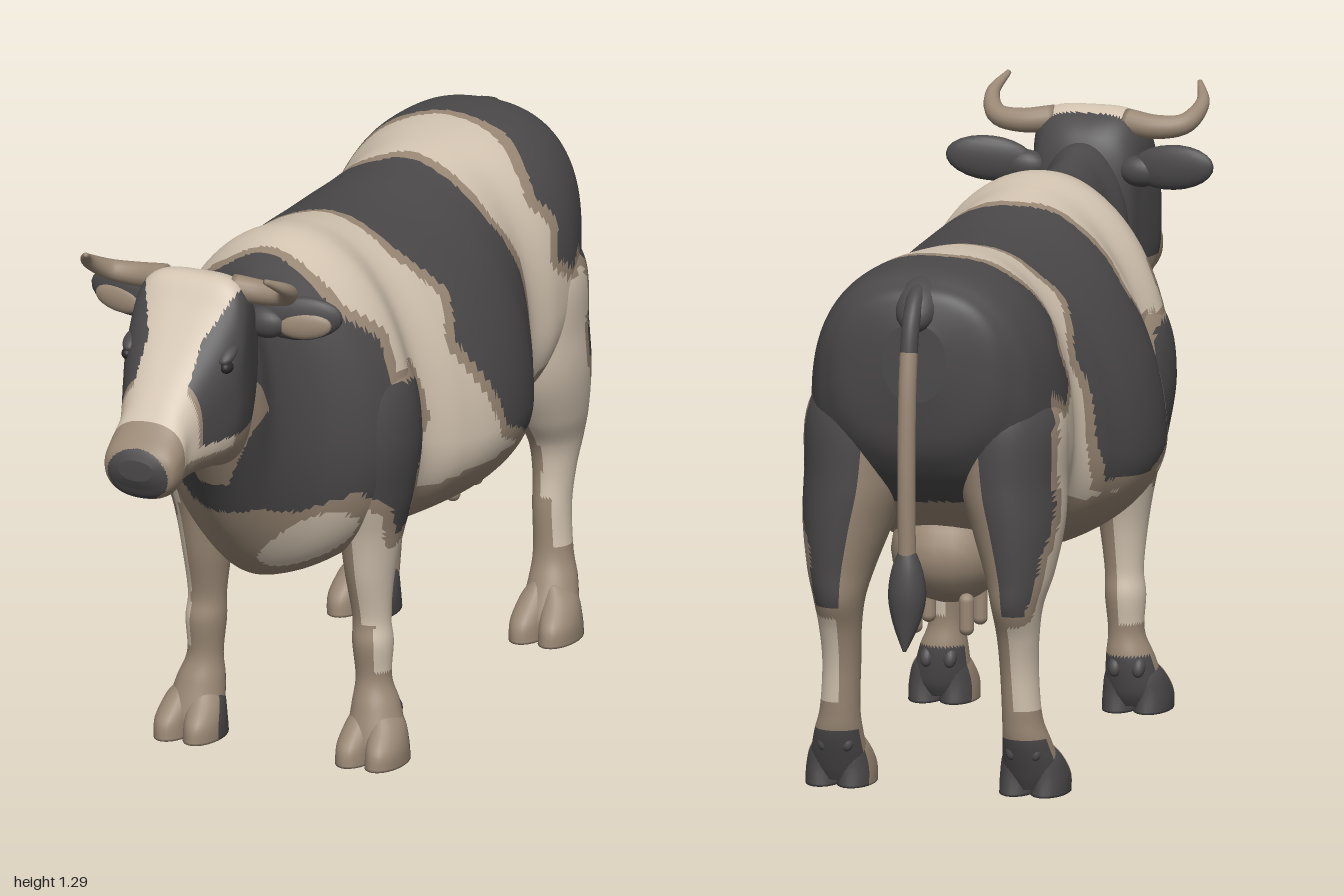
import * as THREE from 'three';

const mat = (name, color) => Object.assign(new THREE.MeshStandardMaterial({ color }), { name });
const DARK = 0, CREAM = 1, TAN = 2;
const mats = [mat('charcoal', 0x4b4949), mat('cream', 0xd3c4b1), mat('tan', 0x9a8875)];
const black = mat('eyeBlack', 0x2c2a2b);

// Smooth interpolation through rows of numbers
function sample(rows, t) {
  const f = t * (rows.length - 1), i = Math.min(Math.floor(f), rows.length - 2), u = f - i;
  const at = k => rows[Math.max(0, Math.min(rows.length - 1, k))];
  const [a, b, c, d] = [at(i - 1), at(i), at(i + 1), at(i + 2)];
  return b.map((_, k) => b[k] + 0.5 * u * (c[k] - a[k] + u * (2 * a[k] - 5 * b[k] + 4 * c[k] - d[k]
    + u * (3 * (b[k] - c[k]) + d[k] - a[k]))));
}

// Closed, capped skin over rings; ring(row, cos, sin) gives a point
function loft(rows, ring, segs = 24, steps = 40) {
  const pos = [], idx = [];
  for (let j = 0; j <= steps; j++) {
    const r = sample(rows, j / steps);
    for (let i = 0; i < segs; i++) {
      const a = (i / segs) * Math.PI * 2;
      pos.push(...ring(r, Math.cos(a), Math.sin(a)));
    }
  }
  for (let j = 0; j < steps; j++) for (let i = 0; i < segs; i++) {
    const a = j * segs + i, b = j * segs + (i + 1) % segs;
    idx.push(a, b, a + segs, b, b + segs, a + segs);
  }
  for (const j of [0, steps]) {
    const c = pos.length / 3, m = [0, 0, 0];
    for (let i = 0; i < segs; i++) for (let k = 0; k < 3; k++) m[k] += pos[(j * segs + i) * 3 + k] / segs;
    pos.push(...m);
    for (let i = 0; i < segs; i++) {
      const a = j * segs + i, b = j * segs + (i + 1) % segs;
      idx.push(...(j ? [a, b, c] : [b, a, c]));
    }
  }
  // Turn the skin outward if its volume is negative
  const P = i => new THREE.Vector3().fromArray(pos, i * 3), o = P(0);
  let vol = 0;
  for (let i = 0; i < idx.length; i += 3)
    vol += P(idx[i]).sub(o).dot(P(idx[i + 1]).sub(o).cross(P(idx[i + 2]).sub(o)));
  if (vol < 0) idx.reverse();
  const g = new THREE.BufferGeometry();
  g.setAttribute('position', new THREE.Float32BufferAttribute(pos, 3));
  g.setIndex(idx);
  g.computeVertexNormals();
  return g;
}

// Sort faces into colour groups by position and facing
function paint(g, rule) {
  const p = g.attributes.position, src = g.index.array, bins = [[], [], []];
  const tri = new THREE.Triangle(), c = new THREE.Vector3(), n = new THREE.Vector3();
  for (let i = 0; i < src.length; i += 3) {
    tri.setFromAttributeAndIndices(p, src[i], src[i + 1], src[i + 2]);
    tri.getMidpoint(c); tri.getNormal(n);
    bins[rule(c, n)].push(src[i], src[i + 1], src[i + 2]);
  }
  g.setIndex(bins.flat());
  let start = 0;
  bins.forEach((b, k) => { if (b.length) g.addGroup(start, b.length, k); start += b.length; });
  return g;
}

// Coat patches as outlines in (z, y)
const patches = [
  [[.34, 1.3], [.31, 1.05], [.24, .98], [.25, .88], [.13, .87], [.11, .75], [.16, .68], [.17, .54], [.22, .52], [.25, .6], [.33, .65], [.42, .62], [.5, .645], [.57, .64], [.63, .74], [.75, .84], [.75, 1.3]],
  [[-.03, 1.3], [-.01, 1.1], [-.07, 1], [-.03, .9], [-.1, .78], [-.13, .68], [-.25, .63], [-.41, .64], [-.44, .8], [-.46, .92], [-.4, 1.05], [-.43, 1.3]],
  [[-.69, 1.3], [-.67, 1.16], [-.62, 1.1], [-.6, 1.04], [-.65, .98], [-.62, .9], [-.68, .86], [-.74, .9], [-.77, .82], [-.76, .66], [-.82, .55], [-.83, .42], [-1, .42], [-1, 1.3]],
];
// Distance outside a patch; negative when inside
function patchDistance(poly, x, y) {
  let inside = false, d = Infinity;
  poly.forEach(([ax, ay], i) => {
    const [bx, by] = poly[(i + 1) % poly.length], ex = bx - ax, ey = by - ay;
    if ((ay > y) !== (by > y) && x < ax + ex * (y - ay) / ey) inside = !inside;
    const t = Math.max(0, Math.min(1, ((x - ax) * ex + (y - ay) * ey) / (ex * ex + ey * ey)));
    d = Math.min(d, Math.hypot(x - ax - t * ex, y - ay - t * ey));
  });
  return inside ? -d : d;
}
const coat = (c, base) => {
  const wob = 0.008 * Math.sin(c.x * 31 + c.y * 23);
  const d = Math.min(...patches.map(p => patchDistance(p, c.z + wob, c.y)));
  return d < 0 ? DARK : d < 0.028 ? TAN : base;
};
const bodyRule = (c, n) => {
  const throat = c.z > .5 && c.y > .72 && n.y < 0 && Math.abs(c.x) < .035 + (c.y - .72) * .45;
  if (throat) return TAN;
  const blotch = Math.hypot((c.z - .37) / .08, (c.y - .54) / .065) < 1 && c.x > .03;
  const under = n.y < -.42 || (c.z > .28 && c.y < .72);
  return coat(c, blotch ? CREAM : under ? TAN : CREAM);
};
const legRule = side => (c, n) => {
  if (c.y < .13 && n.z < -.3) return DARK;
  const spot = side > 0 && c.z > 0 && c.z < .165 && Math.abs(c.y - .4) < .03 && n.x > 0;
  if (spot) return DARK;
  const outer = n.x * side > -.1 && c.y > .2 && (n.z < .85 || (side > 0 && c.y > .31));
  return n.x * side < -.35 ? TAN : coat(c, outer ? CREAM : TAN);
};
const hoofRule = side => (c, n) => (n.y < -.8 || n.z < (side < 0 ? .1 : -.3) ? DARK : TAN);
const headRule = (c, n) => {
  const x = Math.abs(c.x);
  if (c.z > .95 && Math.hypot(x / .072, (c.y - .865) / .06) < 1) return DARK;
  if (c.y < .835 && c.z > .9 && n.y > -.5) return DARK;
  if (c.y < .878 || c.z > .935) return TAN;
  if (x < .064 + Math.max(0, c.y - 1.12) * .5 && c.z > .64 && n.y > 0) return CREAM;
  if (c.z > .87 || c.y < .905) return c.z > .76 ? CREAM : TAN;
  return c.z > .858 ? TAN : DARK;
};

// Ring shapes
const pw = (v, e) => Math.sign(v) * Math.abs(v) ** e;
const alongZ = ([z, top, bot, w, mid, e], c, s) =>
  [w * pw(c, e), mid + (s > 0 ? top - mid : mid - bot) * pw(s, e), z];
const alongY = side => ([y, x, z, rx, rz], c, s) => [side * (x + rx * c), y, z + rz * s];

// Rows: z, top, bottom, half width, height of widest point, squareness
const torso = [
  [-.9, 1.07, .9, .07, .99, .9], [-.88, 1.13, .8, .165, .97, .85], [-.85, 1.155, .74, .21, .94, .85],
  [-.8, 1.175, .68, .248, .9, .85], [-.7, 1.18, .59, .28, .84, .85], [-.6, 1.178, .53, .282, .78, .87],
  [-.5, 1.168, .49, .265, .75, .92], [-.4, 1.152, .46, .315, .7, .98], [-.3, 1.147, .44, .36, .68, 1.03],
  [-.2, 1.145, .43, .378, .68, 1.05], [-.1, 1.15, .435, .368, .68, 1.03], [0, 1.162, .44, .33, .68, 1],
  [.1, 1.178, .44, .278, .7, 1], [.2, 1.19, .43, .298, .74, 1], [.3, 1.17, .425, .265, .76, 1.05],
  [.4, 1.15, .46, .17, .77, 1.05], [.5, 1.16, .57, .115, .84, 1], [.58, 1.175, .7, .108, .96, 1],
  [.65, 1.15, .81, .09, 1, 1],
];
const skull = [
  [.56, 1.12, .9, .05, 1.03, .9], [.59, 1.19, .84, .105, 1.06, .8], [.64, 1.23, .805, .122, 1.07, .55],
  [.7, 1.237, .805, .135, 1.06, .5], [.75, 1.178, .815, .138, 1, .63], [.8, 1.118, .82, .122, .96, .68],
  [.85, 1.064, .822, .102, .935, .73], [.9, 1.01, .812, .086, .91, .78], [.94, .965, .8, .089, .89, .82],
  [.975, .935, .81, .085, .88, .85], [.99, .92, .835, .07, .88, .9], [1, .9, .855, .04, .88, .95],
];
// Rows: y, x, z, half width, half depth
const foreLeg = [
  [1, .15, .2, .04, .06], [.88, .19, .2, .095, .115], [.75, .2, .2, .108, .128], [.62, .2, .19, .092, .115],
  [.52, .197, .19, .07, .085], [.42, .195, .195, .054, .06], [.32, .197, .19, .043, .042], [.26, .2, .19, .045, .048],
  [.18, .202, .19, .04, .04], [.12, .21, .195, .054, .054], [.05, .217, .21, .064, .06], [.015, .217, .215, .05, .05],
];
const hindLeg = [
  [.98, .15, -.69, .05, .1], [.85, .165, -.7, .118, .15], [.7, .175, -.705, .115, .155], [.6, .19, -.72, .1, .14],
  [.5, .2, -.748, .075, .107], [.43, .2, -.77, .056, .08], [.36, .2, -.762, .046, .058], [.28, .2, -.75, .042, .05],
  [.18, .205, -.745, .044, .046], [.12, .212, -.73, .054, .054], [.05, .217, -.7, .064, .06], [.015, .217, -.695, .05, .05],
];

export function createModel() {
  const cow = new THREE.Group();
  cow.name = 'cow';
  const add = (name, geo, material = mats) => {
    const m = new THREE.Mesh(geo, material);
    m.name = name;
    cow.add(m);
    return m;
  };
  const ball = (name, material, p, s) => {
    const m = add(name, new THREE.SphereGeometry(1, 20, 12), material);
    m.position.set(...p); m.scale.set(...s);
    return m;
  };

  add('torso', paint(loft(torso, alongZ, 120, 230), bodyRule));
  add('head', paint(loft(skull, alongZ, 100, 80), headRule));

  for (const side of [-1, 1]) {
    // Legs with split hooves and dewclaws
    for (const [name, rows, z] of [['frontLeg', foreLeg, .23], ['hindLeg', hindLeg, -.68]]) {
      add(name, paint(loft(rows, alongY(side), 40, 100), legRule(side)));
      for (const dx of [-.035, .035]) {
        const toe = [[.12, .212 + dx * .5, z - .03, .02, .03], [.085, .216 + dx * .8, z - .02, .036, .05],
          [.04, .218 + dx, z, .041, .072], [0, .218 + dx, z, .042, .08]];
        add('hoof', paint(loft(toe, alongY(side), 24, 16), hoofRule(side)));
        ball('dewclaw', mats[DARK], [side * (.212 + dx * .75), .105, z - .076], [.015, .024, .015]).rotation.x = .5;
      }
    }
    // Horn
    const horn = new THREE.CatmullRomCurve3([[.08, 1.21, .665], [.15, 1.203, .655], [.21, 1.21, .67], [.236, 1.245, .73],
      [.215, 1.28, .79]].map(([x, y, z]) => new THREE.Vector3(side * x, y, z)));
    const frames = horn.computeFrenetFrames(24);
    add('horn', loft([...Array(25).keys()].map(i => [i]), ([i], c, s) => {
      const k = Math.max(0, Math.min(24, Math.round(i))), r = .029 * (1 - .8 * (k / 24) ** 1.8);
      return horn.getPointAt(k / 24).addScaledVector(frames.normals[k], r * c)
        .addScaledVector(frames.binormals[k], r * s).toArray();
    }, 16, 24), mats[TAN]);
    // Ear with pale inside
    ball('ear', mats[DARK], [side * .205, 1.13, .585], [.098, .05, .022]).rotation.set(0, side * .15, side * .1);
    ball('earBase', mats[DARK], [side * .13, 1.115, .6], [.05, .035, .03]);
    ball('innerEar', mats[TAN], [side * .222, 1.118, .598], [.062, .03, .013]).rotation.set(0, side * .15, side * .1);
    // Eye, brow and nostril
    ball('eye', black, [side * .118, 1.065, .778], [.014, .014, .02]);
    ball('brow', mats[DARK], [side * .114, 1.092, .765], [.02, .013, .034]).rotation.x = .5;
    ball('nostril', black, [side * .05, .893, .982], [.013, .014, .008]);
    // Teats
    for (const z of [-.54, -.66]) {
      const teat = add('teat', new THREE.CapsuleGeometry(.017, .06, 6, 12), mats[TAN]);
      teat.position.set(side * .058, .38, z);
    }
  }
  ball('lowerLip', mats[DARK], [0, .82, .925], [.06, .022, .045]);
  ball('udder', mats[TAN], [0, .51, -.57], [.13, .12, .15]);

  // Tail with tuft
  const tail = new THREE.CatmullRomCurve3([[1.13, -.8], [1.135, -.865], [1.09, -.918], [.98, -.95], [.78, -.965], [.56, -.96]]
    .map(([y, z]) => new THREE.Vector3(0, y, z)));
  add('tail', paint(new THREE.TubeGeometry(tail, 60, .02, 14), c => (c.y > 1.02 ? DARK : TAN)));
  ball('tailRoot', mats[DARK], [0, 1.11, -.86], [.05, .04, .075]).rotation.x = -.7;
  const tuft = [[.59, 0, -.96, .014, .014], [.54, 0, -.96, .034, .03], [.48, 0, -.958, .042, .04],
    [.42, 0, -.965, .03, .028], [.36, 0, -.982, .004, .004]];
  add('tailTuft', loft(tuft, alongY(1), 20, 24), mats[DARK]);
  return cow;
}
